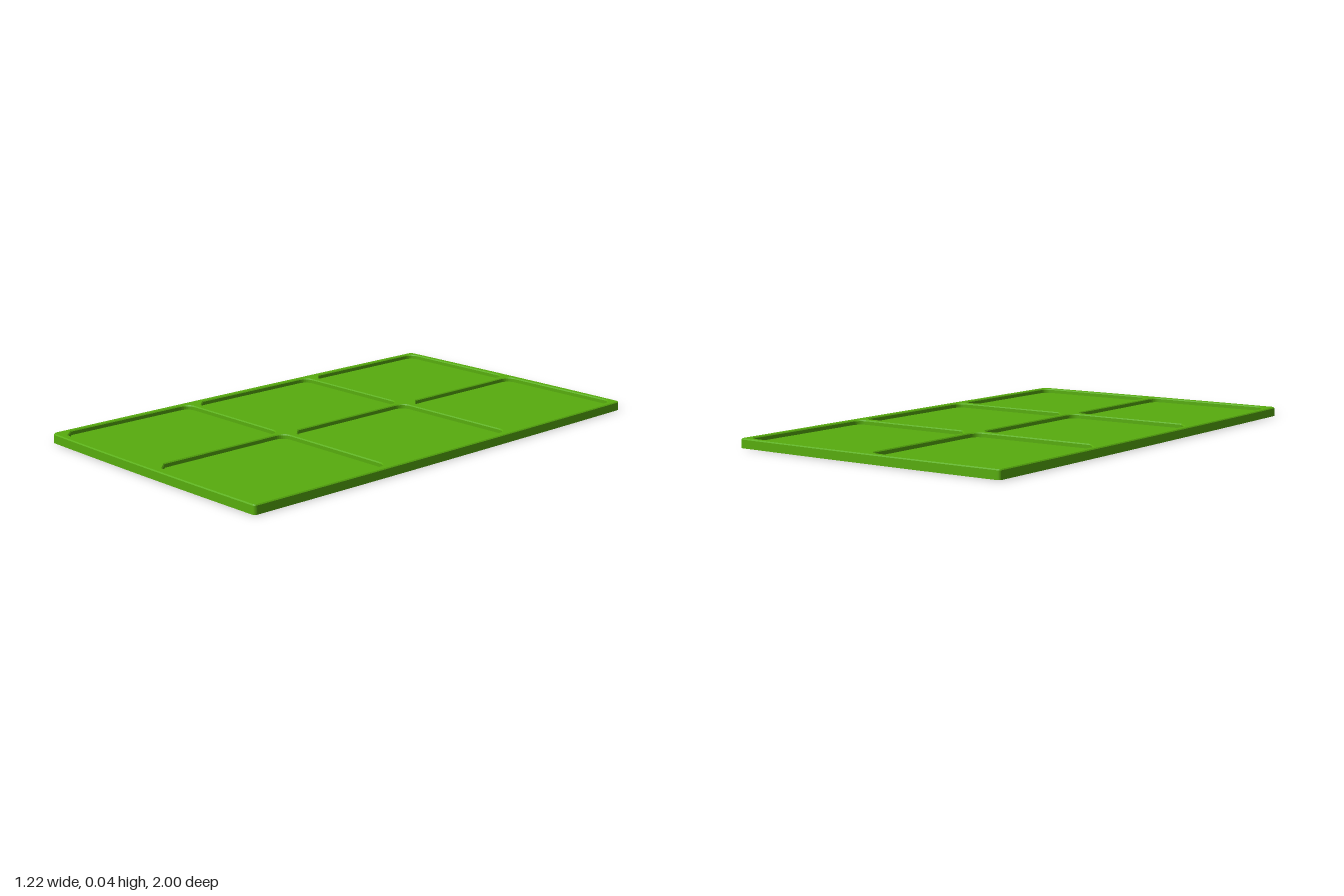
import * as THREE from 'three';

const HALF_W = 0.612, HALF_L = 1, HEIGHT = 0.037, FLOOR = 0.019;
const BULGE = 0.005, BEVEL = 0.004;

// Rounded rectangle; bulge bows the sides out slightly towards the middle
function panel(path, cx, cy, hw, hl, r, bulge = 0) {
  const w = hw - bulge, l = hl - bulge;
  const X = s => cx + s * w, Y = s => cy + s * l;
  path.moveTo(X(-1) + r, Y(-1));
  path.quadraticCurveTo(cx, Y(-1) - 2 * bulge, X(1) - r, Y(-1));
  path.quadraticCurveTo(X(1), Y(-1), X(1), Y(-1) + r);
  path.quadraticCurveTo(X(1) + 2 * bulge, cy, X(1), Y(1) - r);
  path.quadraticCurveTo(X(1), Y(1), X(1) - r, Y(1));
  path.quadraticCurveTo(cx, Y(1) + 2 * bulge, X(-1) + r, Y(1));
  path.quadraticCurveTo(X(-1), Y(1), X(-1), Y(1) - r);
  path.quadraticCurveTo(X(-1) - 2 * bulge, cy, X(-1), Y(-1) + r);
  return path;
}

export function createModel() {
  const group = new THREE.Group();
  group.name = 'tray';
  const material = new THREE.MeshStandardMaterial({ color: 0x58ad0e });

  const add = (name, shape, y, options) => {
    const geometry = new THREE.ExtrudeGeometry(shape, { curveSegments: 8, ...options });
    geometry.rotateX(-Math.PI / 2);
    const mesh = new THREE.Mesh(geometry, material);
    mesh.name = name;
    mesh.position.y = y;
    group.add(mesh);
  };
  const outline = () => panel(new THREE.Shape(), 0, 0, HALF_W, HALF_L, 0.015, BULGE);

  // Solid base, forming the floors of the compartments
  add('base', outline(), 0, { depth: FLOOR, bevelEnabled: false });

  // Rim and dividers, with two by three rounded compartments cut out
  const frame = outline();
  for (const x of [-0.299, 0.296]) {
    for (const z of [-0.66, -0.004, 0.652]) {
      frame.holes.push(panel(new THREE.Path(), x, -z, 0.285, 0.311, 0.045));
    }
  }
  // The lower bevel is sunk into the base
  const bottom = FLOOR - BEVEL - 0.002;
  add('rimAndDividers', frame, bottom + BEVEL, {
    depth: HEIGHT - bottom - 2 * BEVEL,
    bevelThickness: BEVEL, bevelSize: BEVEL, bevelOffset: -BEVEL, bevelSegments: 1,
  });
  return group;
}
